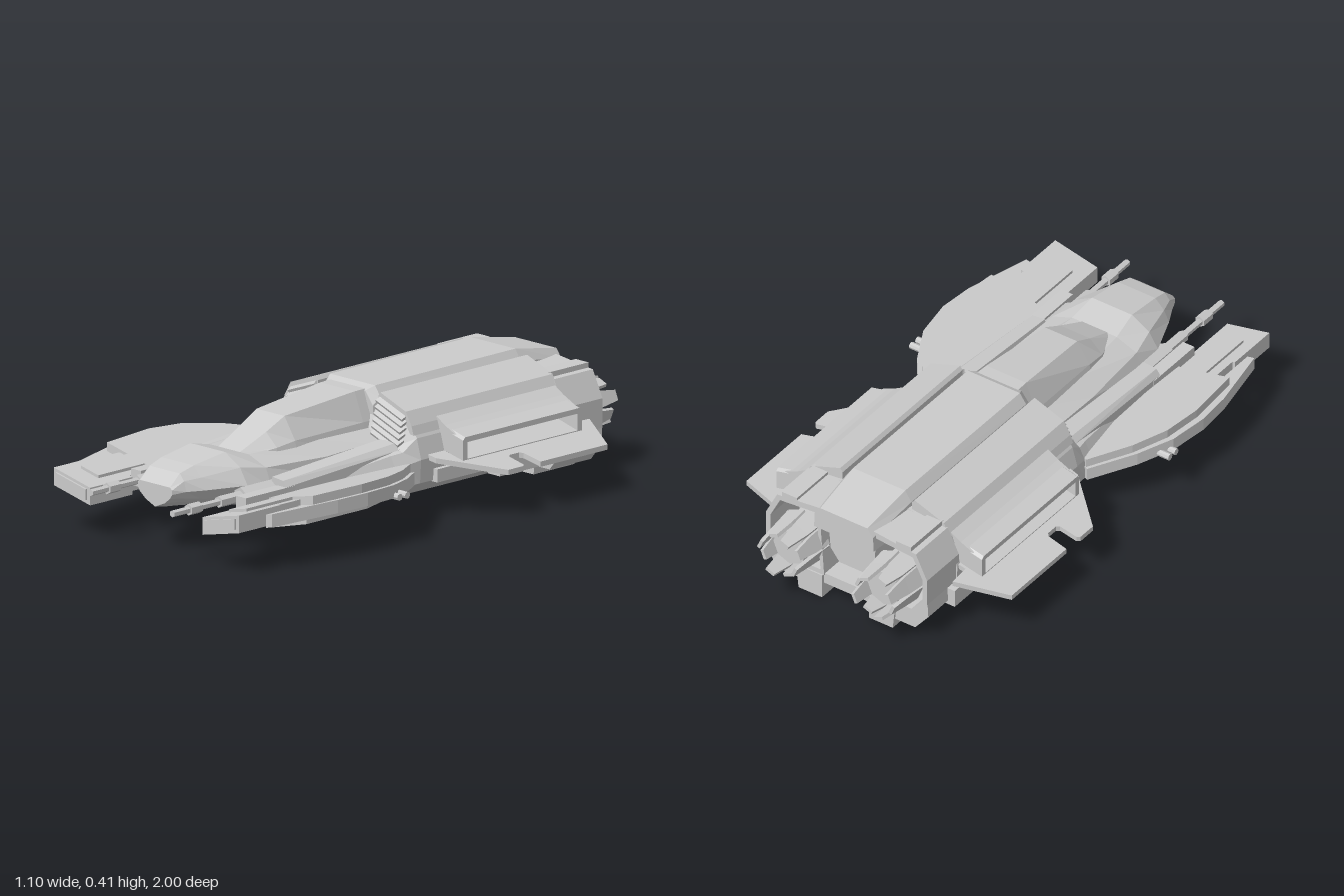
import * as THREE from 'three';

const mat = new THREE.MeshStandardMaterial({ color: 0xcccccc, flatShading: true, side: THREE.DoubleSide });

// Joins rings of [x, y] corners (counter-clockwise seen from the front), given back to front
function loft(sections) {
  const pos = [];
  const put = (...ps) => ps.forEach((p) => pos.push(...p));
  const rings = sections.map(([z, pts]) => pts.map(([x, y]) => [x, y, z]));
  const n = rings[0].length;
  for (let s = 0; s < rings.length - 1; s++) {
    for (let i = 0; i < n; i++) {
      const j = (i + 1) % n, a = rings[s], b = rings[s + 1];
      put(a[i], a[j], b[j], a[i], b[j], b[i]);
    }
  }
  [rings[0], rings[rings.length - 1]].forEach((r, end) => {
    const flat = r.map((p) => new THREE.Vector2(p[0], p[1]));
    for (const [a, b, c] of THREE.ShapeUtils.triangulateShape(flat, [])) {
      if (end) put(r[a], r[b], r[c]); else put(r[a], r[c], r[b]);
    }
  });
  const g = new THREE.BufferGeometry();
  g.setAttribute('position', new THREE.Float32BufferAttribute(pos, 3));
  g.computeVertexNormals();
  return g;
}

// Completes a half profile, listed bottom to top on the +x side
const sym = (half) => [...half, ...half.filter((p) => p[0] > 0).reverse().map(([x, y]) => [-x, y])];
const symLoft = (sections) => loft(sections.map(([z, half]) => [z, sym(half)]));
const prism = (ring, z0, z1) => loft([[z0, ring], [z1, ring]]);

const vectors = (pts) => pts.map(([x, y]) => new THREE.Vector2(x, y));

// Extruded outline with one hole
function frame(outline, hole, depth) {
  const shape = new THREE.Shape(vectors(outline));
  shape.holes.push(new THREE.Path(vectors(hole)));
  return new THREE.ExtrudeGeometry(shape, { depth, bevelEnabled: false });
}

// Flat plate from an outline of [x, z]
function slab(outline, y0, h) {
  const shape = new THREE.Shape(vectors(outline.map(([x, z]) => [x, -z])));
  return new THREE.ExtrudeGeometry(shape, { depth: h, bevelEnabled: false }).rotateX(-Math.PI / 2).translate(0, y0, 0);
}

// Box given by its limits
function box(x0, x1, y0, y1, z0, z1) {
  return new THREE.BoxGeometry(x1 - x0, y1 - y0, z1 - z0).translate((x0 + x1) / 2, (y0 + y1) / 2, (z0 + z1) / 2);
}

// Cylinder along z
function rod(x, y, z0, z1, r, sides = 8, r2 = r) {
  return new THREE.CylinderGeometry(r2, r, z1 - z0, sides).rotateX(Math.PI / 2).translate(x, y, (z0 + z1) / 2);
}

// Shears a geometry so that y changes with distance from x0
function tilt(g, x0, slope) {
  const p = g.attributes.position;
  for (let i = 0; i < p.count; i++) p.setY(i, p.getY(i) + (p.getX(i) - x0) * slope);
  g.computeVertexNormals();
  return g;
}

function mirrored(geo) {
  const g = geo.index ? geo.toNonIndexed() : geo.clone();
  const p = g.attributes.position, v = new THREE.Vector3(), w = new THREE.Vector3();
  for (let i = 0; i < p.count; i += 3) {
    for (let k = 0; k < 3; k++) p.setX(i + k, -p.getX(i + k));
    v.fromBufferAttribute(p, i + 1);
    w.fromBufferAttribute(p, i + 2);
    p.setXYZ(i + 1, w.x, w.y, w.z);
    p.setXYZ(i + 2, v.x, v.y, v.z);
  }
  g.computeVertexNormals();
  return g;
}

export function createModel() {
  const model = new THREE.Group();
  const ship = new THREE.Group();
  ship.name = 'ship';
  ship.rotation.y = 0.034;
  model.add(ship);
  const add = (name, g) => {
    const m = new THREE.Mesh(g, mat);
    m.name = name;
    ship.add(m);
  };
  const pair = (name, g) => {
    add(name + 'Left', g);
    add(name + 'Right', mirrored(g));
  };

  // Forward fuselage and nose
  add('noseFuselage', symLoft([
    [-0.05, [[0, 0.028], [0.16, 0.04], [0.18, 0.12], [0.2, 0.2], [0.19, 0.25], [0.12, 0.28]]],
    [0.08, [[0, 0.026], [0.16, 0.04], [0.175, 0.13], [0.195, 0.19], [0.19, 0.25], [0.11, 0.285]]],
    [0.27, [[0, 0.07], [0.155, 0.085], [0.17, 0.14], [0.195, 0.18], [0.185, 0.24], [0.11, 0.285]]],
    [0.54, [[0, 0.105], [0.14, 0.12], [0.165, 0.155], [0.195, 0.19], [0.17, 0.25], [0.09, 0.28]]],
    [0.64, [[0, 0.115], [0.125, 0.135], [0.15, 0.165], [0.185, 0.21], [0.15, 0.265], [0.08, 0.305]]],
    [0.78, [[0, 0.135], [0.085, 0.16], [0.105, 0.178], [0.13, 0.21], [0.11, 0.25], [0.075, 0.285]]],
    [0.84, [[0, 0.142], [0.065, 0.17], [0.085, 0.185], [0.1, 0.21], [0.09, 0.245], [0.07, 0.268]]],
    [0.885, [[0, 0.15], [0.045, 0.17], [0.07, 0.19], [0.08, 0.205], [0.08, 0.22], [0.07, 0.228]]],
  ]));

  // Canopy
  add('canopy', symLoft([
    [-0.06, [[0.14, 0.2], [0.12, 0.3], [0.085, 0.4]]],
    [0.04, [[0.14, 0.2], [0.12, 0.3], [0.08, 0.398]]],
    [0.35, [[0.14, 0.2], [0.115, 0.295], [0.065, 0.37]]],
    [0.43, [[0.125, 0.2], [0.11, 0.285], [0.06, 0.33]]],
    [0.55, [[0.085, 0.2], [0.07, 0.265], [0.05, 0.277]]],
  ]));

  // Main hull: chamfered belly, steep front step, tapered cheeks
  const belly = [[0, 0.033], [0.165, 0.035], [0.25, 0.08], [0.325, 0.12]];
  const body = [...belly, [0.33, 0.2], [0.31, 0.27], [0.27, 0.33], [0.13, 0.36]];
  add('mainHull', symLoft([
    [-0.7, body],
    [-0.02, body],
    [0.035, [...belly, [0.32, 0.19], [0.3, 0.23], [0.255, 0.24], [0.13, 0.25]]],
    [0.08, [[0, 0.027], [0.16, 0.03], [0.24, 0.075], [0.31, 0.12], [0.31, 0.185], [0.29, 0.225], [0.25, 0.237], [0.13, 0.25]]],
    [0.27, [[0, 0.08], [0.14, 0.085], [0.22, 0.115], [0.28, 0.14], [0.28, 0.17], [0.265, 0.2], [0.22, 0.22], [0.12, 0.22]]],
  ]));
  add('spine', symLoft([
    [-0.88, [[0.12, 0.29], [0.118, 0.345], [0.095, 0.375]]],
    [-0.68, [[0.135, 0.29], [0.13, 0.375], [0.105, 0.412]]],
    [-0.03, [[0.135, 0.29], [0.13, 0.375], [0.105, 0.41]]],
    [0.0, [[0.13, 0.29], [0.125, 0.35], [0.09, 0.395]]],
  ]));

  // Shoulder covers with louvred intakes in front
  pair('shoulder', prism([[0.14, 0.3], [0.305, 0.28], [0.295, 0.31], [0.268, 0.355], [0.15, 0.398], [0.14, 0.385]], -0.69, -0.01));
  for (let i = 0; i < 6; i++) {
    const t = (i + 0.5) / 6;
    const slat = new THREE.BoxGeometry(0.13, 0.01, 0.03).rotateX(0.5).rotateZ(-0.35);
    pair('intakeSlat' + (i + 1), slat.translate(0.205 + 0.015 * t, 0.365 - 0.12 * t, -0.012 + 0.045 * t));
  }

  // Side bays: a frame around a long open slot, with a sloping cover
  const bay = frame(
    [[0.14, 0.2], [0.67, 0.2], [0.68, 0.21], [0.68, 0.28], [0.67, 0.29], [0.14, 0.29], [0.13, 0.28], [0.13, 0.21]],
    [[0.15, 0.215], [0.15, 0.272], [0.66, 0.272], [0.66, 0.215]], 0.13);
  pair('sideBay', tilt(bay.rotateY(Math.PI / 2).translate(0.285, 0, 0), 0.34, -0.25));
  pair('bayCover', prism([[0.28, 0.27], [0.38, 0.275], [0.33, 0.298], [0.29, 0.322]], -0.68, -0.13));

  // Rear fins with a notch, and the rails below them
  pair('rearFin', tilt(slab([[0.29, -0.05], [0.36, -0.06], [0.535, -0.22], [0.535, -0.29], [0.525, -0.3], [0.46, -0.3], [0.45, -0.31],
    [0.45, -0.355], [0.46, -0.365], [0.535, -0.37], [0.535, -0.68], [0.36, -0.77], [0.355, -0.69], [0.29, -0.69]], 0.15, 0.018), 0.535, -0.21));
  pair('finRail', box(0.3, 0.355, 0.085, 0.15, -0.75, -0.36));
  pair('finRailFront', box(0.3, 0.345, 0.115, 0.16, -0.36, -0.08));

  // Front wings in two layers, rising outward
  const wing = [[0.25, 0.08], [0.34, 0.02], [0.445, 0.16], [0.505, 0.28], [0.525, 0.42], [0.515, 0.55], [0.495, 0.64], [0.46, 0.8],
    [0.432, 0.8], [0.432, 0.64], [0.27, 0.64]];
  const wingTop = [[0.25, 0.07], [0.33, 0.03], [0.425, 0.16], [0.48, 0.28], [0.498, 0.42], [0.48, 0.63], [0.275, 0.63]];
  const raise = (g) => tilt(g, 0.345, 0.22);
  pair('wingLower', raise(slab(wing, 0.125, 0.045)));
  pair('wingUpper', raise(slab(wingTop, 0.17, 0.03)));
  pair('wingKeel', raise(slab([[0.27, 0.2], [0.36, 0.2], [0.42, 0.32], [0.42, 0.6], [0.3, 0.64]], 0.1, 0.03)));

  // Launcher pods at the wing fronts
  pair('launcherPod', raise(box(0.262, 0.432, 0.13, 0.19, 0.73, 0.925)));
  pair('launcherFace', raise(box(0.277, 0.417, 0.143, 0.18, 0.9, 0.932)));
  pair('launcherPanel', raise(box(0.305, 0.385, 0.18, 0.2, 0.63, 0.845)));
  for (let i = 0; i < 3; i++) {
    pair('launcherLink' + (i + 1), raise(box(0.275 + i * 0.052, 0.318 + i * 0.052, 0.135, 0.19, 0.6, 0.75)));
  }
  for (let i = 0; i < 2; i++) {
    pair('wingThruster' + (i + 1), new THREE.CylinderGeometry(0.012, 0.012, 0.07, 8).rotateZ(Math.PI / 2).translate(0.488, 0.165, 0.235 + i * 0.035));
  }

  // Fairings beside the fuselage, and the guns
  pair('rootFairing', loft([
    [0.02, [[0.18, 0.14], [0.28, 0.14], [0.28, 0.235], [0.26, 0.255], [0.2, 0.26]]],
    [0.54, [[0.18, 0.14], [0.265, 0.14], [0.265, 0.2], [0.25, 0.22], [0.2, 0.225]]],
  ]));
  pair('gunShroud', box(0.222, 0.268, 0.145, 0.2, 0.5, 0.73));
  pair('gunBody', rod(0.19, 0.182, 0.45, 0.68, 0.031, 6));
  pair('gunSleeve', rod(0.19, 0.182, 0.68, 0.78, 0.02, 6));
  pair('gunBarrel', rod(0.19, 0.182, 0.78, 0.995, 0.012, 6));
  pair('gunCollar', rod(0.19, 0.182, 0.87, 0.92, 0.02, 6));

  // Engine housings: thin shells, open at the rear
  const housing = frame([[0.09, 0.09], [0.27, 0.09], [0.325, 0.15], [0.325, 0.25], [0.28, 0.34], [0.11, 0.36]],
    [[0.105, 0.108], [0.12, 0.335], [0.268, 0.322], [0.307, 0.245], [0.307, 0.157], [0.262, 0.108]], 0.18);
  pair('engineHousing', housing.translate(0, 0, -0.865));
  pair('engineRib', box(0.2, 0.26, 0.335, 0.36, -0.865, -0.68));
  pair('engineCore', rod(0.19, 0.195, -0.92, -0.69, 0.066, 8, 0.085));
  for (let i = 0; i < 8; i++) {
    const petal = loft([
      [-0.992 + (i % 2) * 0.02, [[-0.018, 0.068], [0.018, 0.068], [0.018, 0.08], [-0.018, 0.08]]],
      [-0.9, [[-0.03, 0.073], [0.03, 0.073], [0.03, 0.086], [-0.03, 0.086]]],
      [-0.83, [[-0.034, 0.076], [0.034, 0.076], [0.034, 0.092], [-0.034, 0.092]]],
    ]);
    pair('enginePetal' + (i + 1), petal.rotateZ((i + 0.5) * Math.PI / 4).translate(0.19, 0.195, 0));
  }

  // Tail block between the engines, its floor and the two feet
  add('tailBlock', prism(sym([[0.06, 0.13], [0.1, 0.18], [0.1, 0.26], [0.07, 0.31]]), -0.82, -0.68));
  add('tailFloor', box(-0.1, 0.1, 0.055, 0.095, -0.86, -0.68));
  pair('foot', prism([[0.095, 0], [0.19, 0], [0.2, 0.09], [0.095, 0.09]], -0.87, -0.68));
  pair('footSide', prism([[0.19, 0.035], [0.275, 0.035], [0.328, 0.1], [0.325, 0.15], [0.27, 0.092], [0.19, 0.092]], -0.862, -0.67));
  return model;
}
